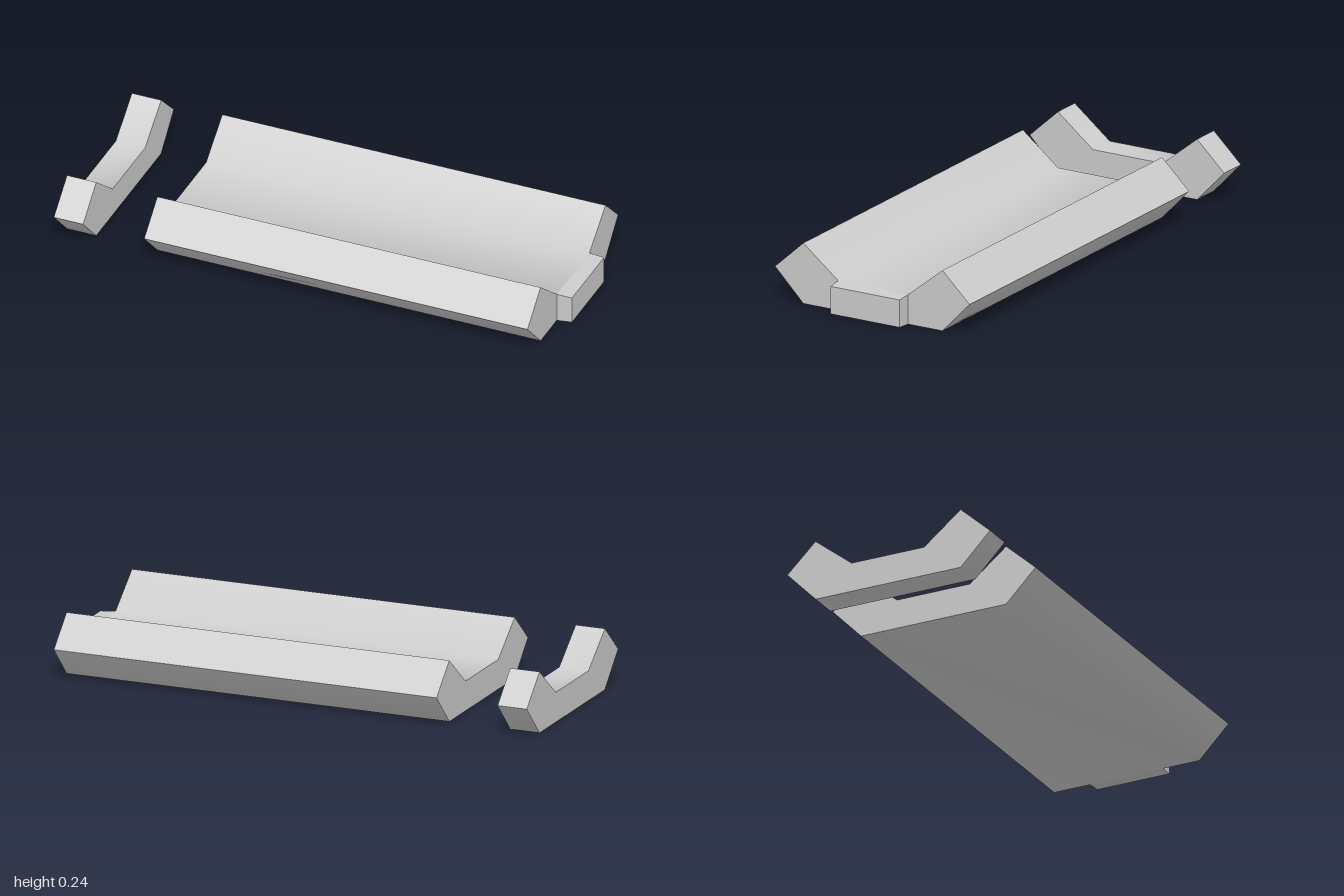
import * as THREE from 'three';
import { toCreasedNormals } from 'three/addons/utils/BufferGeometryUtils.js';

// Trough cross-section as [z, y]
const PROFILE = [
  [0.43, 0.126], [0.305, 0], [-0.31, 0], [-0.43, 0.126],
  [-0.31, 0.24], [-0.157, 0.117], [0.15, 0.117], [0.305, 0.24],
];

export function createModel() {
  const model = new THREE.Group();
  model.name = 'troughSections';

  const grey = new THREE.MeshStandardMaterial({ color: 0xcccccc });
  grey.name = 'light grey';

  // The profile swept along x; floor and sides blend smoothly, rims stay sharp
  function addSection(name, x0, x1) {
    const shape = new THREE.Shape(PROFILE.map(([z, y]) => new THREE.Vector2(-z, y)));
    const extruded = new THREE.ExtrudeGeometry(shape, { depth: x1 - x0, bevelEnabled: false });
    extruded.rotateY(Math.PI / 2).translate(x0, 0, 0);
    const mesh = new THREE.Mesh(toCreasedNormals(extruded, 1.0), grey);
    mesh.name = name;
    model.add(mesh);
  }

  addSection('endSection', -1, -0.88);
  addSection('mainTrough', -0.63, 0.94);

  // Short tongue on the end of the floor, narrowing slightly outward
  const tongueGeometry = new THREE.BoxGeometry(1, 1, 1);
  const p = tongueGeometry.attributes.position;
  for (let i = 0; i < p.count; i++) {
    const outer = p.getX(i) > 0;
    const top = p.getY(i) > 0;
    const front = p.getZ(i) > 0;
    p.setXYZ(
      i,
      outer ? 1 : 0.94,
      top ? (outer ? 0.113 : 0.117) : (outer ? 0.004 : 0),
      front ? (outer ? 0.147 : 0.152) : -0.158,
    );
  }
  tongueGeometry.computeVertexNormals();
  const tongue = new THREE.Mesh(tongueGeometry, grey);
  tongue.name = 'endTongue';
  model.add(tongue);

  return model;
}
